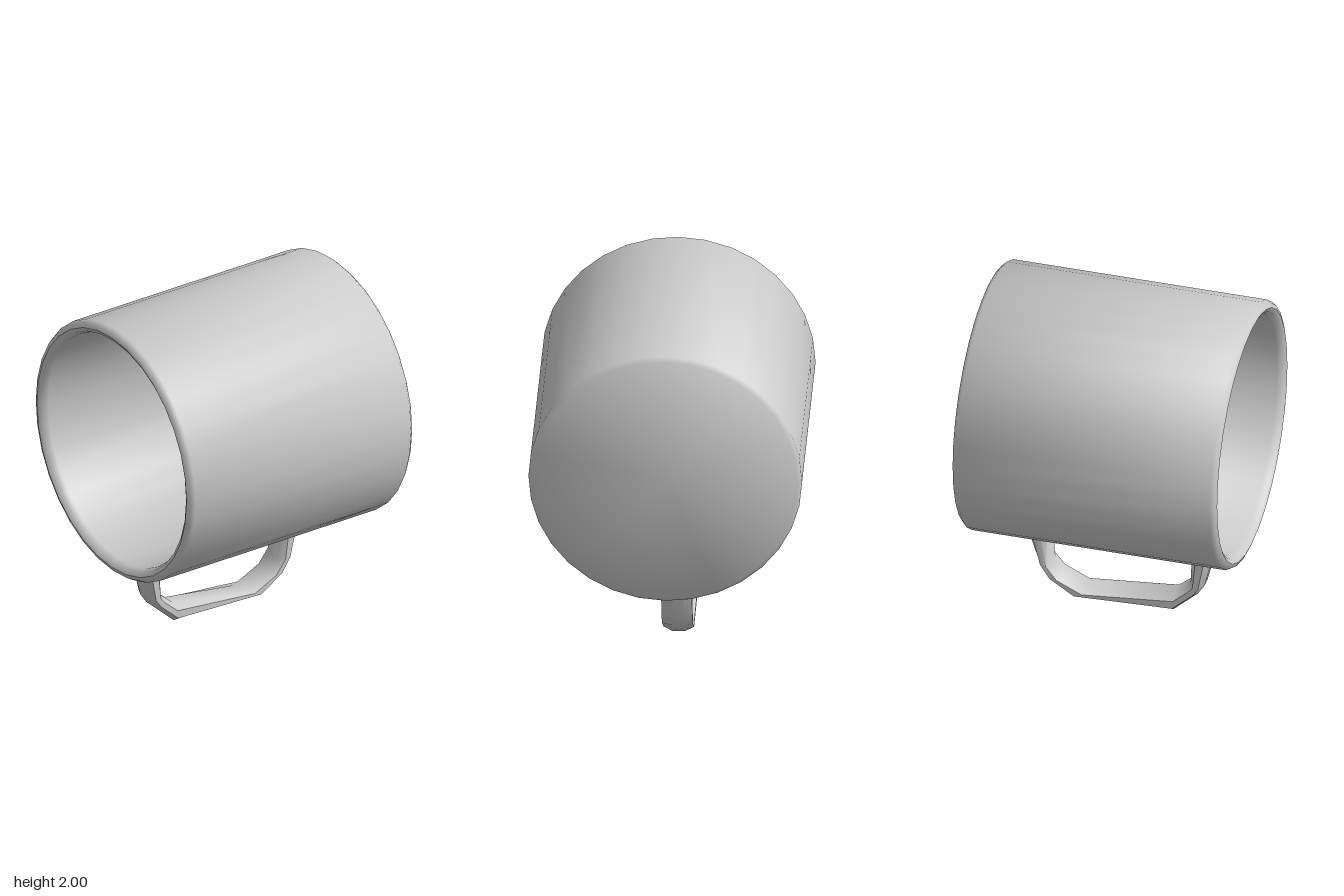
import * as THREE from 'three';
import { toCreasedNormals } from 'three/addons/utils/BufferGeometryUtils.js';

// Skin a closed run of elliptical rings, each spanning an outer and an inner [z, y] point
function sweepRings(stations, centreX, halfWidth, sides) {
  const pos = [], index = [];
  for (const [oz, oy, iz, iy] of stations) {
    for (let j = 0; j < sides; j++) {
      const a = ((j + 0.5) / sides) * Math.PI * 2;
      const k = 1 / Math.cos(Math.PI / sides); // keep flats at the full width
      const t = 0.5 + 0.5 * k * Math.cos(a);
      pos.push(centreX + halfWidth * k * Math.sin(a), iy + (oy - iy) * t, iz + (oz - iz) * t);
    }
  }
  for (let i = 0; i < stations.length - 1; i++) {
    for (let j = 0; j < sides; j++) {
      const n = (j + 1) % sides;
      const a = i * sides + j, b = i * sides + n, c = a + sides, d = b + sides;
      index.push(a, b, c, b, d, c);
    }
  }
  const geo = new THREE.BufferGeometry();
  geo.setAttribute('position', new THREE.Float32BufferAttribute(pos, 3));
  geo.setIndex(index);
  return geo;
}

export function createModel() {
  const mug = new THREE.Group();
  mug.name = 'mug';
  const material = new THREE.MeshStandardMaterial({ color: 0xcccccc, side: THREE.DoubleSide });

  // Cup lying on its side: base at the back, outer wall, rounded rim, inner wall, inner floor
  const profile = [
    [0, -0.78], [0.755, -0.78], [0.78, -0.755], [0.78, 0.745], [0.765, 0.77],
    [0.74, 0.78], [0.715, 0.765], [0.7, 0.73], [0.7, -0.66], [0.66, -0.7], [0, -0.7],
  ].map(([r, h]) => new THREE.Vector2(r, h));
  const cupGeo = new THREE.LatheGeometry(profile, 32);
  cupGeo.rotateX(Math.PI / 2);
  const cup = new THREE.Mesh(toCreasedNormals(cupGeo, 0.9), material);
  cup.name = 'cup';
  cup.position.y = 1.22;
  mug.add(cup);

  // Handle beneath the cup: outer z, y then inner z, y, from the rim end to the base end
  const stations = [
    [0.59, 0.48, 0.45, 0.48],
    [0.52, 0.19, 0.44, 0.2],
    [0.48, 0.13, 0.42, 0.18],
    [0.34, 0.0, 0.35, 0.12],
    [-0.27, 0.0, -0.16, 0.045],
    [-0.41, 0.11, -0.31, 0.1],
    [-0.46, 0.2, -0.38, 0.18],
    [-0.55, 0.48, -0.4, 0.48],
  ];
  const handleGeo = sweepRings(stations, -0.05, 0.088, 8);
  const handle = new THREE.Mesh(toCreasedNormals(handleGeo, 0.9), material);
  handle.name = 'handle';
  mug.add(handle);

  return mug;
}
